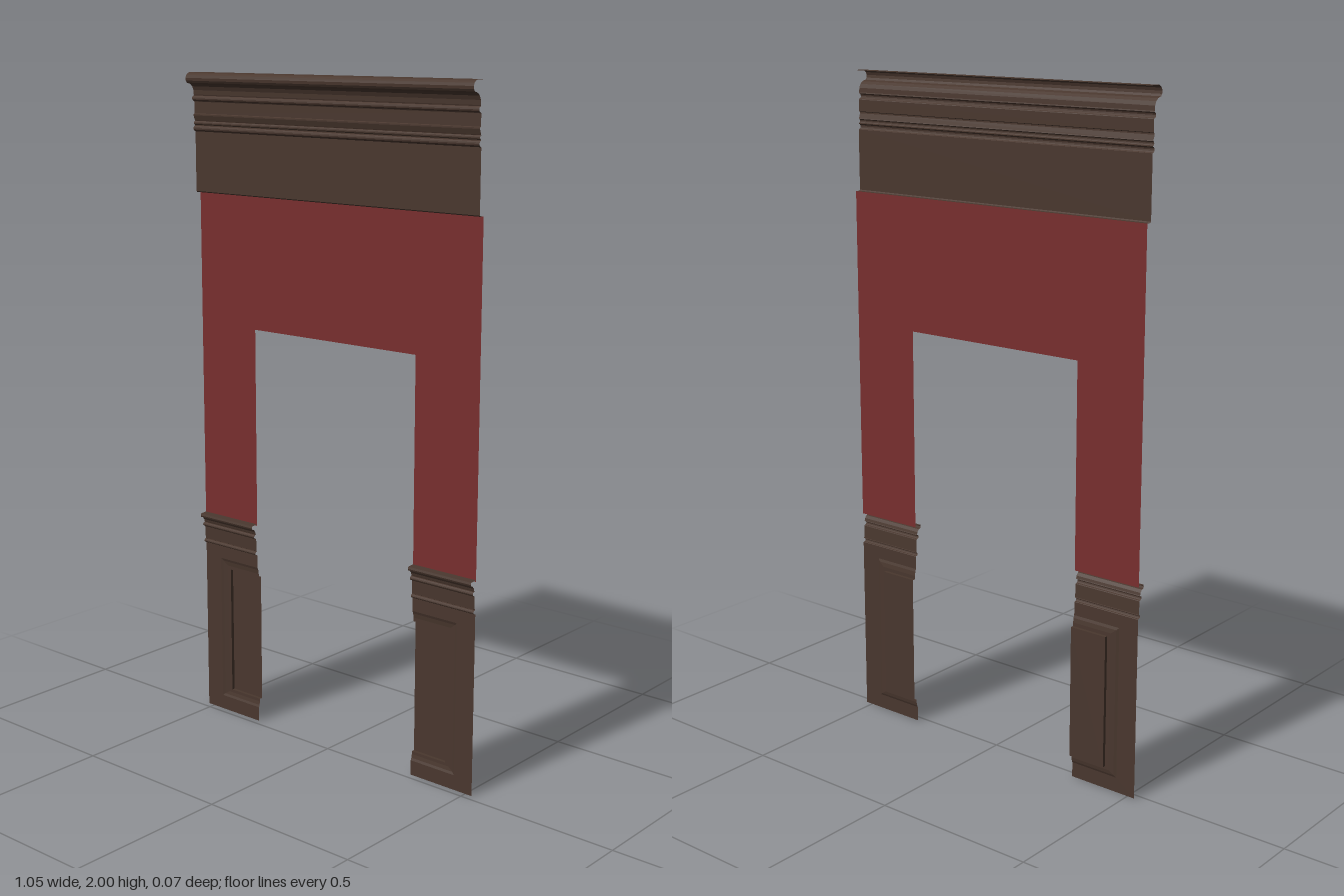
import * as THREE from 'three';

const W = 0.523;      // half width of the wall
const OPEN = 0.303;   // half width of the doorway
const WALL_Z = -0.02; // plane of the wall sheet

// Open sheet made from quads (corner order a, b, c, d counter-clockwise)
function sheet(name, quads, material) {
  const pos = [];
  for (const [a, b, c, d] of quads) pos.push(...a, ...b, ...c, ...a, ...c, ...d);
  const geo = new THREE.BufferGeometry();
  geo.setAttribute('position', new THREE.Float32BufferAttribute(pos, 3));
  geo.computeVertexNormals();
  const mesh = new THREE.Mesh(geo, material);
  mesh.name = name;
  return mesh;
}

// Moulding: a [z, y] profile, listed bottom to top, swept along x
function moulding(name, profile, x0, x1, material) {
  const quads = [];
  for (let i = 0; i < profile.length - 1; i++) {
    const [z0, y0] = profile[i], [z1, y1] = profile[i + 1];
    quads.push([[x0, y0, z0], [x1, y0, z0], [x1, y1, z1], [x0, y1, z1]]);
  }
  return sheet(name, quads, material);
}

// Half-round bead for a profile
function bead(z, y0, y1, r) {
  const pts = [];
  for (let i = 0; i <= 6; i++) {
    const a = -Math.PI / 2 + (i / 6) * Math.PI;
    pts.push([z + r * Math.cos(a), (y0 + y1) / 2 + ((y1 - y0) / 2) * Math.sin(a)]);
  }
  return pts;
}

// Wainscot with a stepped recess that runs out at the doorway edge
function wainscot(name, s, material) {
  // each ring: outer x, bottom y, top y, z
  const rings = [
    [W, 0, 0.545, WALL_Z],
    [0.46, 0.045, 0.505, WALL_Z],
    [0.452, 0.052, 0.497, -0.023],
    [0.435, 0.063, 0.484, -0.025],
    [0.423, 0.072, 0.473, -0.025],
    [0.423, 0.072, 0.473, -0.035],
  ];
  const path = ([x, y0, y1, z]) => [
    [s * OPEN, y0, z], [s * x, y0, z], [s * x, y1, z], [s * OPEN, y1, z],
  ];
  const quads = [];
  for (let r = 0; r < rings.length - 1; r++) {
    const o = path(rings[r]), n = path(rings[r + 1]);
    for (let i = 0; i < 3; i++) quads.push([o[i], o[i + 1], n[i + 1], n[i]]);
  }
  quads.push(path(rings[rings.length - 1]));
  if (s < 0) quads.forEach((q) => q.reverse());
  return sheet(name, quads, material);
}

export function createModel() {
  const wood = new THREE.MeshStandardMaterial({ color: 0x49372e, side: THREE.DoubleSide });
  wood.name = 'dark wood';
  const red = new THREE.MeshStandardMaterial({ color: 0x782e2e, side: THREE.DoubleSide });
  red.name = 'red wall';

  const model = new THREE.Group();
  model.name = 'doorwayWall';

  // Red wall around the doorway
  const outline = new THREE.Shape([
    [-W, 0.64], [-OPEN, 0.64], [-OPEN, 1.25], [OPEN, 1.25],
    [OPEN, 0.64], [W, 0.64], [W, 1.647], [-W, 1.647],
  ].map(([x, y]) => new THREE.Vector2(x, y)));
  const wall = new THREE.Mesh(new THREE.ShapeGeometry(outline), red);
  wall.position.z = WALL_Z;
  wall.name = 'wall';
  model.add(wall);

  // Frieze board
  model.add(moulding('frieze', [
    [WALL_Z, 1.647], [-0.006, 1.647], [-0.003, 1.65], [-0.003, 1.827],
  ], -W, W, wood));

  // Crown moulding: beads, fascia, cove and overhanging nose
  model.add(moulding('cornice', [
    [-0.003, 1.827],
    ...bead(-0.002, 1.828, 1.844, 0.007),
    ...bead(-0.002, 1.846, 1.858, 0.005),
    [-0.001, 1.86], [0.004, 1.874], [0.004, 1.878], [0, 1.88], [0, 1.914],
    ...bead(0.001, 1.916, 1.932, 0.008),
    [0.002, 1.935], [0.003, 1.948], [0.008, 1.959], [0.016, 1.966], [0.022, 1.968],
    [0.03, 1.97], [0.034, 1.976], [0.035, 1.984], [0.032, 1.992], [0.026, 1.997],
    [0.019, 2], [WALL_Z, 2],
  ], -W, W, wood));

  // Chair rail and panel on each side of the doorway
  const rail = [
    [WALL_Z, 0.545],
    ...bead(-0.019, 0.546, 0.558, 0.008),
    [-0.017, 0.559], [-0.015, 0.598],
    ...bead(-0.014, 0.6, 0.613, 0.008),
    [-0.013, 0.615], [-0.011, 0.622], [-0.005, 0.63],
    [0.002, 0.632], [0.004, 0.637], [0.002, 0.643], [WALL_Z, 0.645],
  ];
  for (const [side, s] of [['left', 1], ['right', -1]]) {
    const x0 = s > 0 ? OPEN : -W;
    model.add(moulding(side + 'ChairRail', rail, x0, x0 + W - OPEN, wood));
    model.add(wainscot(side + 'Wainscot', s, wood));
  }
  return model;
}
